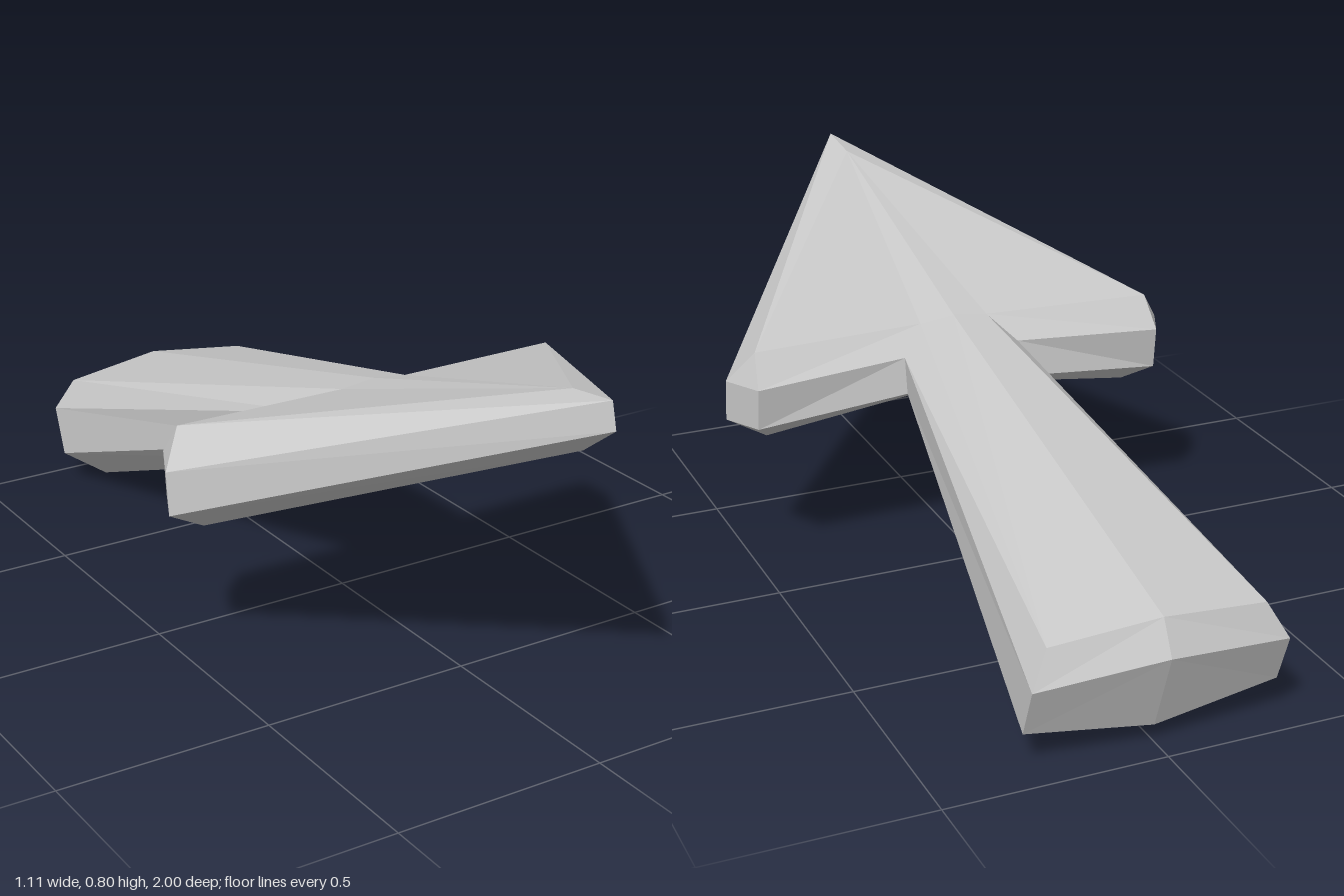
import * as THREE from 'three';

// Half outlines (x >= 0): tip, wing front, wing back, notch, tail corner, tail middle
const BOTTOM = [[0, 0.665, 0.9], [0.465, 0.33, 0.165], [0.465, 0.33, 0.165],
  [0.09, 0.39, 0.135], [0.215, 0.037, -0.84], [0, 0.0, -0.85]];
const LOWER = [[0, 0.74, 1.0], [0.557, 0.38, 0.18], [0.51, 0.385, 0.08],
  [0.145, 0.42, 0.07], [0.293, 0.08, -0.925], [0, 0.04, -0.935]];
const UPPER = [[0, 0.8, 0.985], [0.557, 0.48, 0.17], [0.51, 0.485, 0.07],
  [0.145, 0.505, 0.085], [0.293, 0.195, -0.968], [0, 0.225, -1.0]];
const TOP = [[0, 0.785, 0.86], [0.5, 0.56, 0.12], [0.5, 0.56, 0.12],
  [0.085, 0.565, 0.135], [0.25, 0.275, -0.94], [0, 0.302, -0.96]];
const TOP_CENTRE = [0, 0.575, 0.135];
const BOTTOM_CENTRE = [0, 0.39, 0.135];

// Collects triangles together with their mirror image across x = 0
function mirroredSurface(triangles) {
  const positions = [];
  const flip = ([x, y, z]) => [-x, y, z];
  for (const [a, b, c] of triangles) {
    if (a === b || b === c || a === c) continue;
    positions.push(...a, ...b, ...c, ...flip(a), ...flip(c), ...flip(b));
  }
  const geometry = new THREE.BufferGeometry();
  geometry.setAttribute('position', new THREE.Float32BufferAttribute(positions, 3));
  geometry.computeVertexNormals();
  return geometry;
}

// Flat face: two fans meeting at the centre of the neck
function faceTriangles([tip, wing, , notch, corner, end], centre) {
  return [[tip, wing, notch], [tip, notch, centre],
    [centre, notch, corner], [centre, corner, end]];
}

// Strip joining a ring to the ring above it
function bandTriangles(low, high) {
  const triangles = [];
  for (let i = 0; i < low.length - 1; i++) {
    triangles.push([low[i], low[i + 1], high[i + 1]]);
    triangles.push([low[i], high[i + 1], high[i]]);
  }
  return triangles;
}

export function createModel() {
  const group = new THREE.Group();
  group.name = 'arrow';
  const grey = new THREE.MeshStandardMaterial({ color: 0xc8c8c8, flatShading: true });
  grey.name = 'lightGrey';

  const add = (name, triangles) => {
    const mesh = new THREE.Mesh(mirroredSurface(triangles), grey);
    mesh.name = name;
    group.add(mesh);
  };

  add('topFace', faceTriangles(TOP, TOP_CENTRE));
  add('topBevel', bandTriangles(UPPER, TOP));
  add('rim', bandTriangles(LOWER, UPPER));
  add('bottomBevel', bandTriangles(BOTTOM, LOWER));
  add('bottomFace', faceTriangles(BOTTOM, BOTTOM_CENTRE).map(([a, b, c]) => [a, c, b]));
  return group;
}
